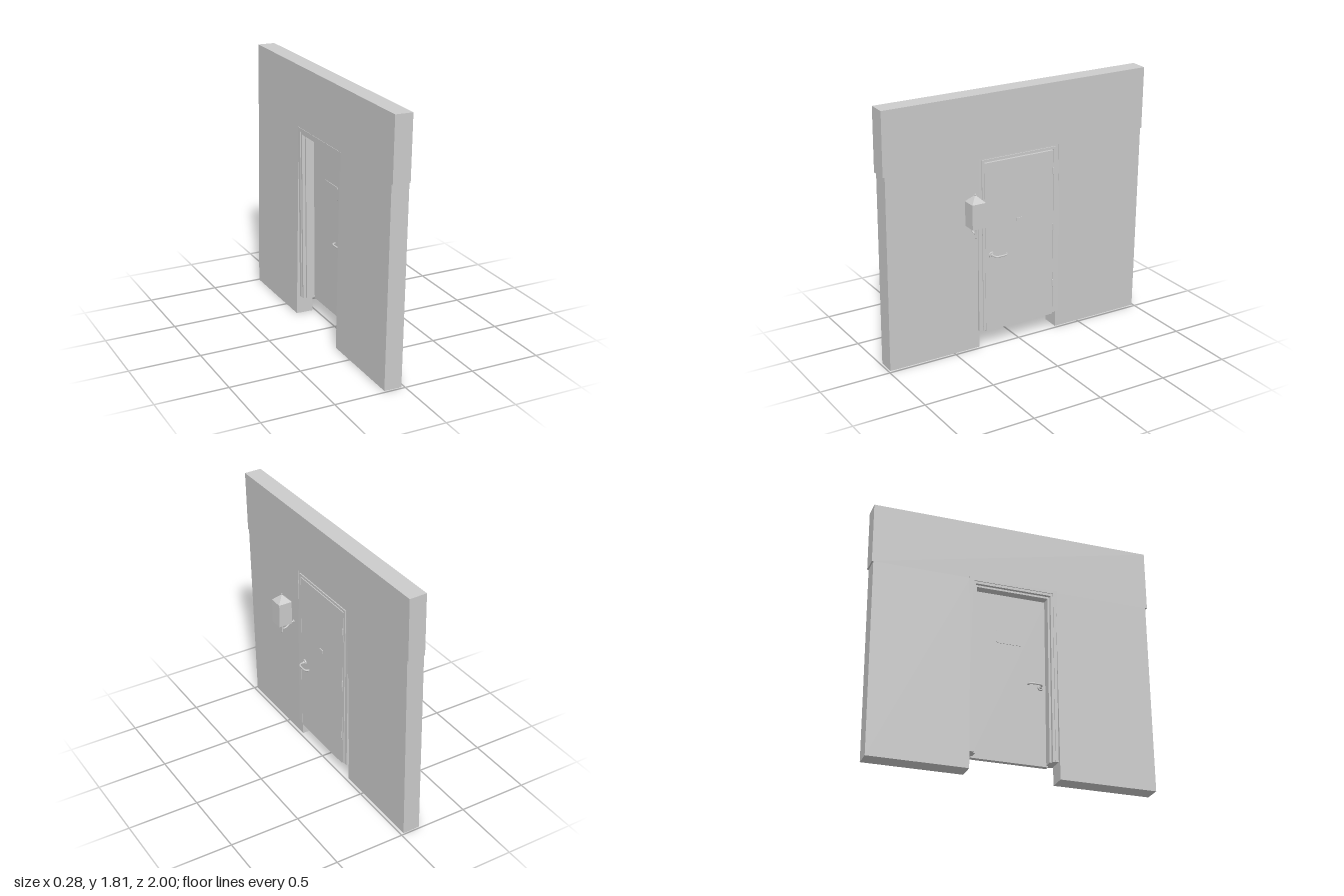
import * as THREE from 'three';

const mat = new THREE.MeshStandardMaterial({ color: 0xcccccc });

function add(parent, name, geo, x = 0, y = 0, z = 0) {
  const m = new THREE.Mesh(geo, mat);
  m.name = name;
  m.position.set(x, y, z);
  parent.add(m);
  return m;
}

// Box given by its limits on each axis
function block(parent, name, [x0, x1], [y0, y1], [z0, z1]) {
  return add(parent, name, new THREE.BoxGeometry(x1 - x0, y1 - y0, z1 - z0),
    (x0 + x1) / 2, (y0 + y1) / 2, (z0 + z1) / 2);
}

function tube(parent, name, points, r, x = 0, y = 0, z = 0) {
  const curve = new THREE.CatmullRomCurve3(points.map(p => new THREE.Vector3(...p)));
  return add(parent, name, new THREE.TubeGeometry(curve, 28, r, 10), x, y, z);
}

function createWall() {
  const wall = new THREE.Group();
  wall.name = 'wall';
  const depth = [-0.123, 0];
  block(wall, 'leftPier', depth, [0, 1.372], [0.305, 0.986]);
  block(wall, 'rightPier', depth, [0, 1.372], [-0.99, -0.315]);
  block(wall, 'lintel', depth, [1.372, 1.81], [-1, 1]);
  // The wall leans slightly forward over the upright door
  wall.position.x = -0.021;
  wall.rotation.z = -0.0207;
  return wall;
}

function createFrame() {
  const frame = new THREE.Group();
  frame.name = 'doorFrame';
  const mid = -0.003;
  for (const s of [1, -1]) {
    const side = (a, b) => [mid + s * a, mid + s * b].sort((p, q) => p - q);
    block(frame, 'outerJamb', [-0.118, 0.001], [0.13, 1.385], side(0.287, 0.318));
    block(frame, 'innerJamb', [-0.112, 0.008], [0.13, 1.36], side(0.27, 0.288));
    block(frame, 'doorStop', [-0.09, -0.029], [0.13, 1.345], side(0.256, 0.27));
  }
  const span = w => [mid - w, mid + w];
  block(frame, 'outerHead', [-0.118, 0.001], [1.36, 1.385], span(0.287));
  block(frame, 'innerHead', [-0.112, 0.008], [1.342, 1.36], span(0.27));
  block(frame, 'headStop', [-0.09, -0.029], [1.328, 1.342], span(0.256));
  return frame;
}

// Lever handle pointing out along +x, with the grip turned towards -z
function createHandle(name) {
  const handle = new THREE.Group();
  handle.name = name;
  add(handle, 'rosette', new THREE.CylinderGeometry(0.02, 0.022, 0.008, 24), 0.004).rotation.z = -Math.PI / 2;
  add(handle, 'neck', new THREE.CylinderGeometry(0.009, 0.011, 0.012, 16), 0.012).rotation.z = -Math.PI / 2;
  tube(handle, 'lever', [[0.01, 0, 0], [0.038, 0, -0.004], [0.052, 0, -0.02],
    [0.055, 0, -0.045], [0.053, 0, -0.08], [0.046, 0, -0.094], [0.03, 0, -0.1]], 0.006);
  add(handle, 'leverTip', new THREE.SphereGeometry(0.006, 10, 8), 0.03, 0, -0.1);
  return handle;
}

// Rounded plate lying in the YZ plane
function plateGeometry(w, h, r, t) {
  const s = new THREE.Shape();
  const a = w / 2 - r, b = h / 2 - r;
  s.absarc(a, b, r, 0, Math.PI / 2);
  s.absarc(-a, b, r, Math.PI / 2, Math.PI);
  s.absarc(-a, -b, r, Math.PI, Math.PI * 1.5);
  s.absarc(a, -b, r, Math.PI * 1.5, Math.PI * 2);
  const g = new THREE.ExtrudeGeometry(s, { depth: t, bevelEnabled: false, curveSegments: 6 });
  return g.translate(0, 0, -t / 2).rotateY(Math.PI / 2);
}

function createDoor() {
  const door = new THREE.Group();
  door.name = 'door';
  const front = 0.008, back = -0.027;
  block(door, 'doorLeaf', [back, front], [0.12, 1.335], [-0.27, 0.265]);

  const outer = createHandle('outerHandle');
  outer.position.set(front, 0.68, 0.218);
  const inner = createHandle('innerHandle');
  inner.position.set(back, 0.68, 0.218);
  inner.scale.x = -1;
  door.add(outer, inner);

  // Small front plate and the wider plate on the inside
  add(door, 'frontPlate', plateGeometry(0.04, 0.028, 0.003, 0.006), front + 0.002, 0.893, 0);
  add(door, 'backPlate', plateGeometry(0.2, 0.1, 0.02, 0.005), back - 0.001, 1.015, 0);

  for (const y of [0.36, 0.78, 1.19]) {
    add(door, 'hinge', new THREE.CylinderGeometry(0.005, 0.005, 0.045, 12), 0.01, y, -0.269);
    for (const s of [-1, 1])
      add(door, 'hingeCap', new THREE.SphereGeometry(0.004, 10, 8), 0.01, y + s * 0.0235, -0.269);
  }
  return door;
}

function createLantern() {
  const lamp = new THREE.Group();
  lamp.name = 'lantern';
  block(lamp, 'lanternBody', [-0.049, 0.049], [0.945, 1.118], [-0.049, 0.049]);

  // Four-sided roof with a ball on top
  const roof = new THREE.ConeGeometry(0.05 * Math.SQRT2, 0.05, 4).toNonIndexed();
  roof.rotateY(Math.PI / 4);
  roof.computeVertexNormals();
  add(lamp, 'lanternRoof', roof, 0, 1.143, 0);
  add(lamp, 'finial', new THREE.SphereGeometry(0.006, 12, 10), 0, 1.17, 0);

  // Turned stem below the body
  const stem = [[0, 0.86], [0.005, 0.862], [0.006, 0.87], [0.005, 0.89], [0.006, 0.925],
    [0.012, 0.931], [0.014, 0.938], [0.02, 0.946]].map(p => new THREE.Vector2(...p));
  add(lamp, 'stem', new THREE.LatheGeometry(stem, 16));

  // Curved bracket reaching back to the wall
  tube(lamp, 'bracketArm', [[-0.098, 0.926, 0], [-0.08, 0.923, 0], [-0.055, 0.911, 0],
    [-0.032, 0.895, 0], [-0.012, 0.891, 0], [0, 0.898, 0]], 0.006);
  add(lamp, 'wallMount', new THREE.CylinderGeometry(0.009, 0.012, 0.008, 16), -0.091, 0.925, 0)
    .rotation.z = -Math.PI / 2;
  lamp.position.set(0.09, 0, 0.385);
  return lamp;
}

export function createModel() {
  const model = new THREE.Group();
  model.name = 'doorway';
  model.add(createWall(), createFrame(), createDoor(), createLantern());
  return model;
}
